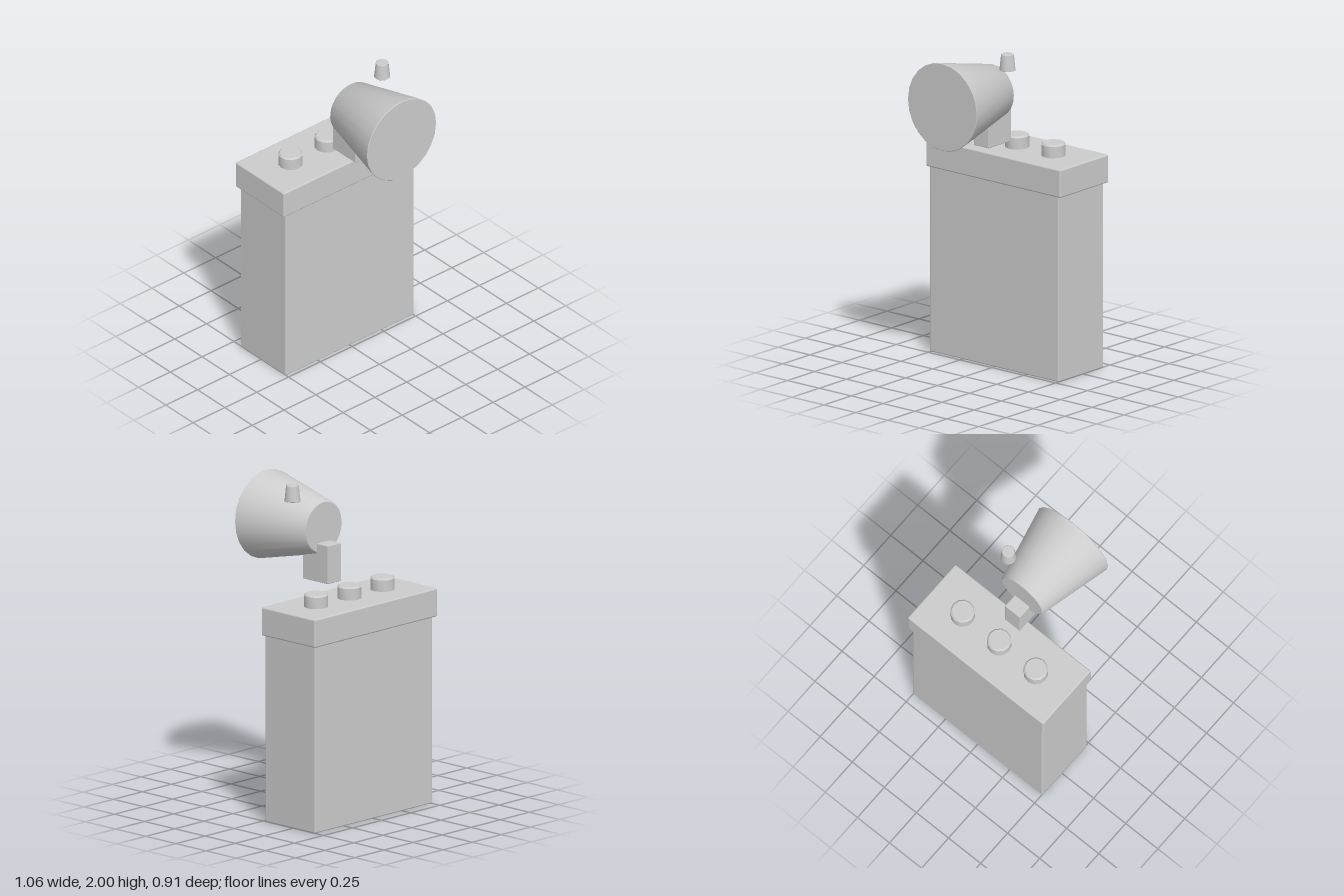
import * as THREE from 'three';
import { RoundedBoxGeometry } from 'three/addons/geometries/RoundedBoxGeometry.js';
import { toCreasedNormals } from 'three/addons/utils/BufferGeometryUtils.js';

const grey = new THREE.MeshStandardMaterial({ color: 0xcccccc });
grey.name = 'grey';

// Box given by its lower and upper corners, with softened edges
function box(name, [x0, y0, z0], [x1, y1, z1], bevel) {
  const geometry = new RoundedBoxGeometry(x1 - x0, y1 - y0, z1 - z0, 2, bevel);
  const mesh = new THREE.Mesh(geometry, grey);
  mesh.name = name;
  mesh.position.set((x0 + x1) / 2, (y0 + y1) / 2, (z0 + z1) / 2);
  return mesh;
}

// Closed tapered drum rising from its base, with a small bevel at both rims
function drum(name, rBottom, rTop, height, sides, b0, b1) {
  const profile = [
    [0, 0], [rBottom - b0, 0], [rBottom, b0],
    [rTop, height - b1], [rTop - b1, height], [0, height],
  ].map(([r, y]) => new THREE.Vector2(r, y));
  const geometry = toCreasedNormals(new THREE.LatheGeometry(profile, sides), 0.6);
  const mesh = new THREE.Mesh(geometry, grey);
  mesh.name = name;
  return mesh;
}

export function createModel() {
  const model = new THREE.Group();
  model.name = 'boxWithLamp';

  // Case and overhanging lid
  model.add(box('case', [-0.505, 0, -0.435], [0.505, 1.16, -0.02], 0.008));
  model.add(box('lid', [-0.528, 1.15, -0.455], [0.528, 1.325, -0.01], 0.01));

  // Row of three knobs on the lid
  for (const x of [-0.285, 0, 0.285]) {
    const knob = drum('knob', 0.074, 0.074, 0.085, 12, 0.004, 0.01);
    knob.position.set(x, 1.32, -0.232);
    model.add(knob);
  }

  // Lamp head, its bracket and the small switch above it
  const lamp = drum('lampHead', 0.164, 0.272, 0.475, 24, 0.01, 0.003);
  lamp.rotation.x = Math.PI / 2;
  lamp.position.set(0, 1.72, -0.02);
  model.add(lamp);

  model.add(box('bracket', [-0.058, 1.395, -0.11], [0.058, 1.63, 0.098], 0.004));

  const lampSwitch = drum('lampSwitch', 0.049, 0.039, 0.1, 12, 0.002, 0.003);
  lampSwitch.position.set(0.179, 1.9, 0.066);
  model.add(lampSwitch);

  return model;
}
